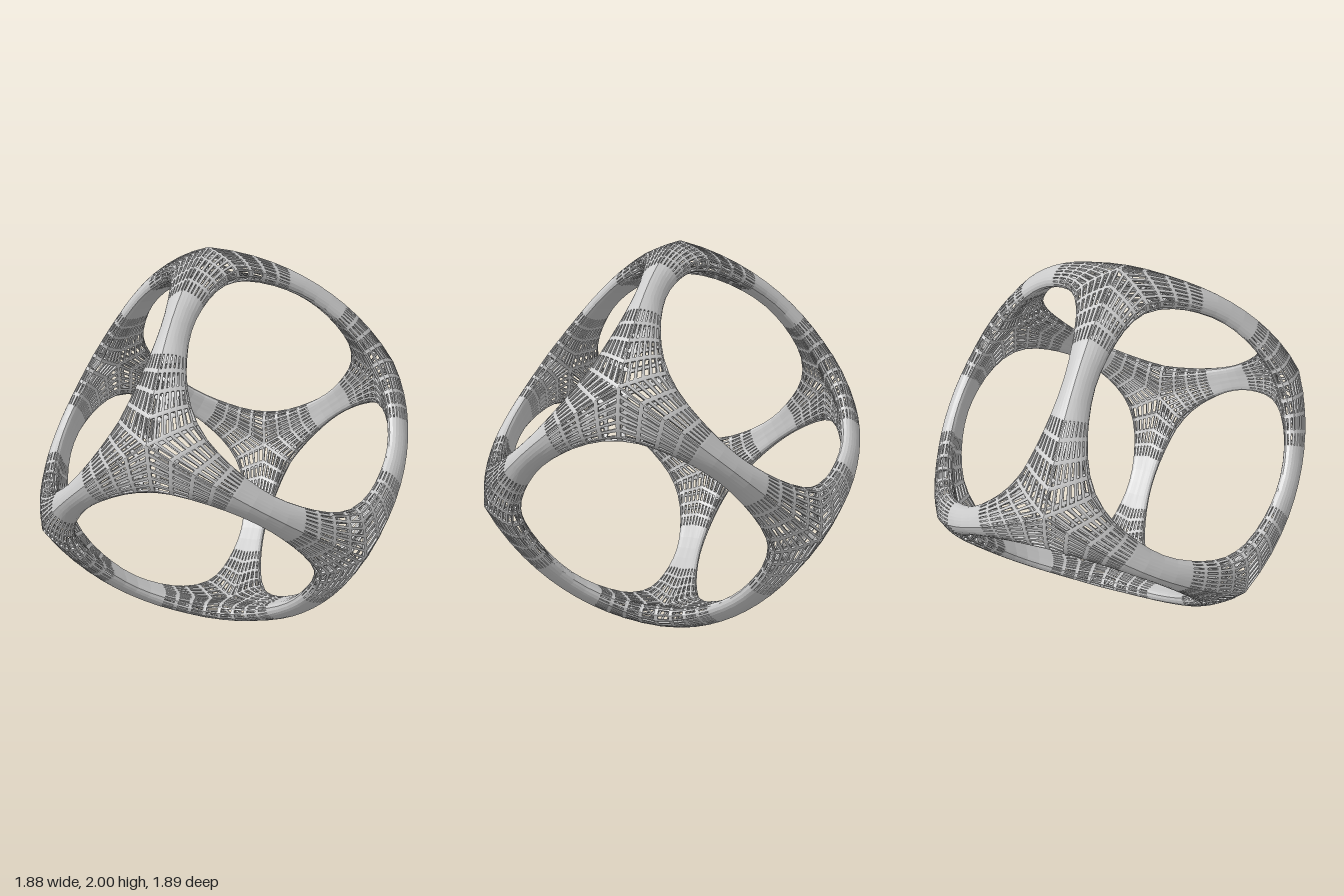
import * as THREE from 'three';

const SEGMENTS = 48;   // cells around each round opening
const ROWS = 13;       // cells from outer seam, over the lip, to inner seam
const lerp = THREE.MathUtils.lerp;

// Cross-section of the frame at one angle around an opening:
// flat curved bar at the cube edges (s = 0), wide domed web at the corners (s = 1)
function sectionAt(angle) {
  const c = Math.cos(angle), n = Math.sin(angle);
  const big = Math.max(Math.abs(c), Math.abs(n));
  const t = Math.min(Math.abs(c), Math.abs(n)) / big;
  const s = Math.sin(2 * angle) ** 4;
  const seam = (radius) => {
    const z = radius / Math.hypot(1, 1 / big);
    return [z / big, z];
  };
  // outer seam swells just enough to keep the outline round
  const outer = 0.943 / Math.sqrt(1 - t * t / (3 * (2 + t * t)));
  const profile = [
    seam(outer),
    [lerp(0.645, 0.742, s), lerp(0.677, 0.63, s)],
    [lerp(0.618, 0.665, s), lerp(0.682, 0.67, s)],
    [lerp(0.58, 0.607, s), lerp(0.677, 0.678, s)],
    [lerp(0.56, 0.59, s), lerp(0.652, 0.63, s)],
    seam(lerp(0.85, 0.88, s)),
  ];
  const points = profile.map(([r, z]) => new THREE.Vector3(r * c, r * n, z));
  return new THREE.CatmullRomCurve3(points).getSpacedPoints(ROWS);
}

// Lattice collar around one opening: wide cells are thin frames with a slit,
// narrow cells along the bars are closed
function latticeCollar() {
  const strutAcross = 0.01, strutAlong = 0.0065, depth = 0.01;
  const positions = [];
  const quad = (a, b, c, d) => {
    for (const p of [a, b, c, a, c, d]) positions.push(p.x, p.y, p.z);
  };
  const sections = [];
  for (let i = 0; i < SEGMENTS; i++) sections.push(sectionAt((i / SEGMENTS) * Math.PI * 2));

  for (let i = 0; i < SEGMENTS; i++) {
    const here = sections[i], next = sections[(i + 1) % SEGMENTS];
    for (let j = 0; j < ROWS; j++) {
      const cell = [here[j], next[j], next[j + 1], here[j + 1]];
      const length = (cell[0].distanceTo(cell[1]) + cell[3].distanceTo(cell[2])) / 2;
      const width = (cell[0].distanceTo(cell[3]) + cell[1].distanceTo(cell[2])) / 2;
      const u = Math.min(0.4, strutAcross / length);
      const v = strutAlong / width;
      if (v > 0.4) {
        quad(...cell);
        continue;
      }
      const at = (a, b) => cell[0].clone().lerp(cell[1], a)
        .lerp(cell[3].clone().lerp(cell[2], a), b);
      const slit = [at(u, v), at(1 - u, v), at(1 - u, 1 - v), at(u, 1 - v)];
      const inward = cell[2].clone().sub(cell[0])
        .cross(cell[3].clone().sub(cell[1])).normalize().multiplyScalar(-depth);
      const floor = slit.map((p) => p.clone().add(inward));
      for (let k = 0; k < 4; k++) {
        const m = (k + 1) % 4;
        quad(cell[k], cell[m], slit[m], slit[k]);     // strut face
        quad(slit[k], slit[m], floor[m], floor[k]);   // slit wall
      }
    }
  }
  const geometry = new THREE.BufferGeometry();
  geometry.setAttribute('position', new THREE.Float32BufferAttribute(positions, 3));
  geometry.computeVertexNormals();
  return geometry;
}

export function createModel() {
  const model = new THREE.Group();
  model.name = 'latticeCubeFrame';
  const material = new THREE.MeshStandardMaterial({
    color: 0xcccccc, flatShading: true, side: THREE.DoubleSide,
  });

  // Six identical collars, one per cube face, meeting along the edges and corners
  const frame = new THREE.Group();
  frame.name = 'cubeFrame';
  const collar = latticeCollar();
  const q = Math.PI / 2;
  const turns = [[0, 0], [q, 0], [2 * q, 0], [-q, 0], [0, q], [0, -q]];
  turns.forEach(([rx, ry], i) => {
    const mesh = new THREE.Mesh(collar, material);
    mesh.name = `faceCollar${i + 1}`;
    mesh.rotation.set(rx, ry, 0);
    frame.add(mesh);
  });

  // Balance the cube on one corner, with a slight lean
  const h = 1 / Math.sqrt(3), w = Math.SQRT1_2, d = 1 / Math.sqrt(6);
  const standing = new THREE.Matrix4().makeBasis(
    new THREE.Vector3(0, h, -2 * d),
    new THREE.Vector3(-w, h, d),
    new THREE.Vector3(w, h, d),
  );
  const lean = new THREE.Matrix4().makeRotationZ(0.06)
    .multiply(new THREE.Matrix4().makeRotationY(-0.03));
  frame.quaternion.setFromRotationMatrix(lean.multiply(standing));
  frame.position.y = 1;
  model.add(frame);
  return model;
}
